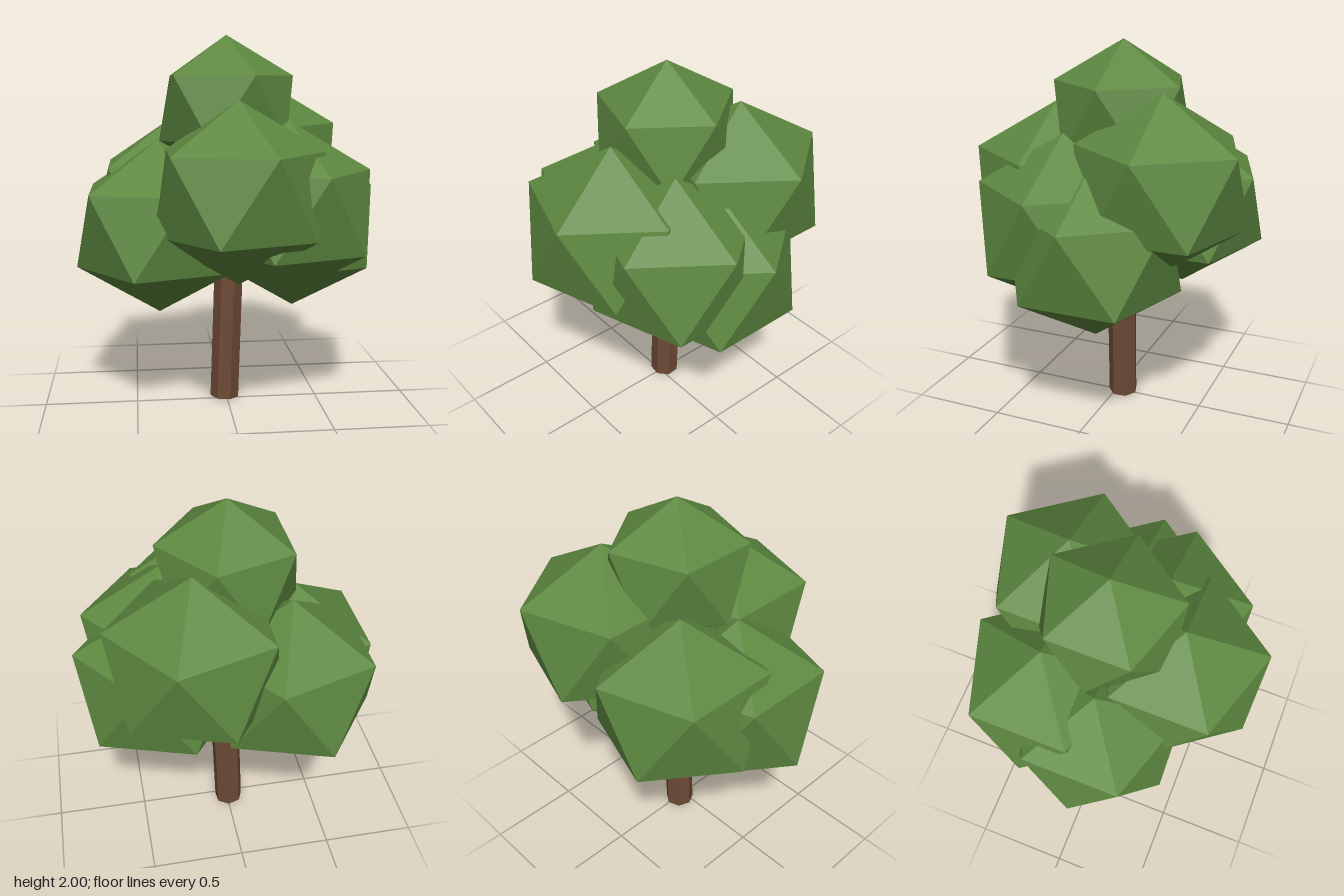
import * as THREE from 'three';

const leaf = new THREE.MeshStandardMaterial({ color: 0x5d8840, flatShading: true });
const bark = new THREE.MeshStandardMaterial({ color: 0x6e4a35, flatShading: true });

// [name, x, y, z, radius] of each clump of leaves
const CLUMPS = [
  ['crownFoliage', 0, 1.615, -0.04, 0.403],
  ['frontFoliage', 0.025, 1.2, 0.33, 0.49],
  ['rightFoliage', -0.37, 0.985, 0.02, 0.49],
  ['leftFoliage', 0.37, 0.985, -0.04, 0.488],
  ['frontLeftFoliage', 0.305, 1.09, 0.16, 0.49],
  ['backLeftFoliage', 0.22, 1.31, -0.335, 0.488],
  ['backRightFoliage', -0.28, 1.09, -0.29, 0.49],
];

// Icosahedron standing on a corner, upper ring pointing to +x, slightly squashed
function clumpGeometry() {
  const golden = (1 + Math.sqrt(5)) / 2;
  const geometry = new THREE.IcosahedronGeometry(1, 0);
  geometry.rotateZ(-Math.atan(1 / golden));
  geometry.scale(1, 0.95, 1);
  geometry.computeVertexNormals();
  return geometry;
}

export function createModel() {
  const tree = new THREE.Group();
  tree.name = 'tree';

  // Seven-sided trunk, leaning slightly to +x
  const height = 1.2;
  const trunkGeometry = new THREE.CylinderGeometry(0.08, 0.08, height, 7, 1, false, THREE.MathUtils.degToRad(68.6));
  trunkGeometry.translate(0, height / 2, 0);
  const trunk = new THREE.Mesh(trunkGeometry, bark);
  trunk.name = 'trunk';
  trunk.position.set(-0.01, 0.003, -0.04);
  trunk.rotation.z = -0.033;
  tree.add(trunk);

  // Overlapping leaf clumps
  const geometry = clumpGeometry();
  for (const [name, x, y, z, radius] of CLUMPS) {
    const clump = new THREE.Mesh(geometry, leaf);
    clump.name = name;
    clump.position.set(x, y, z);
    clump.scale.setScalar(radius);
    tree.add(clump);
  }
  return tree;
}
